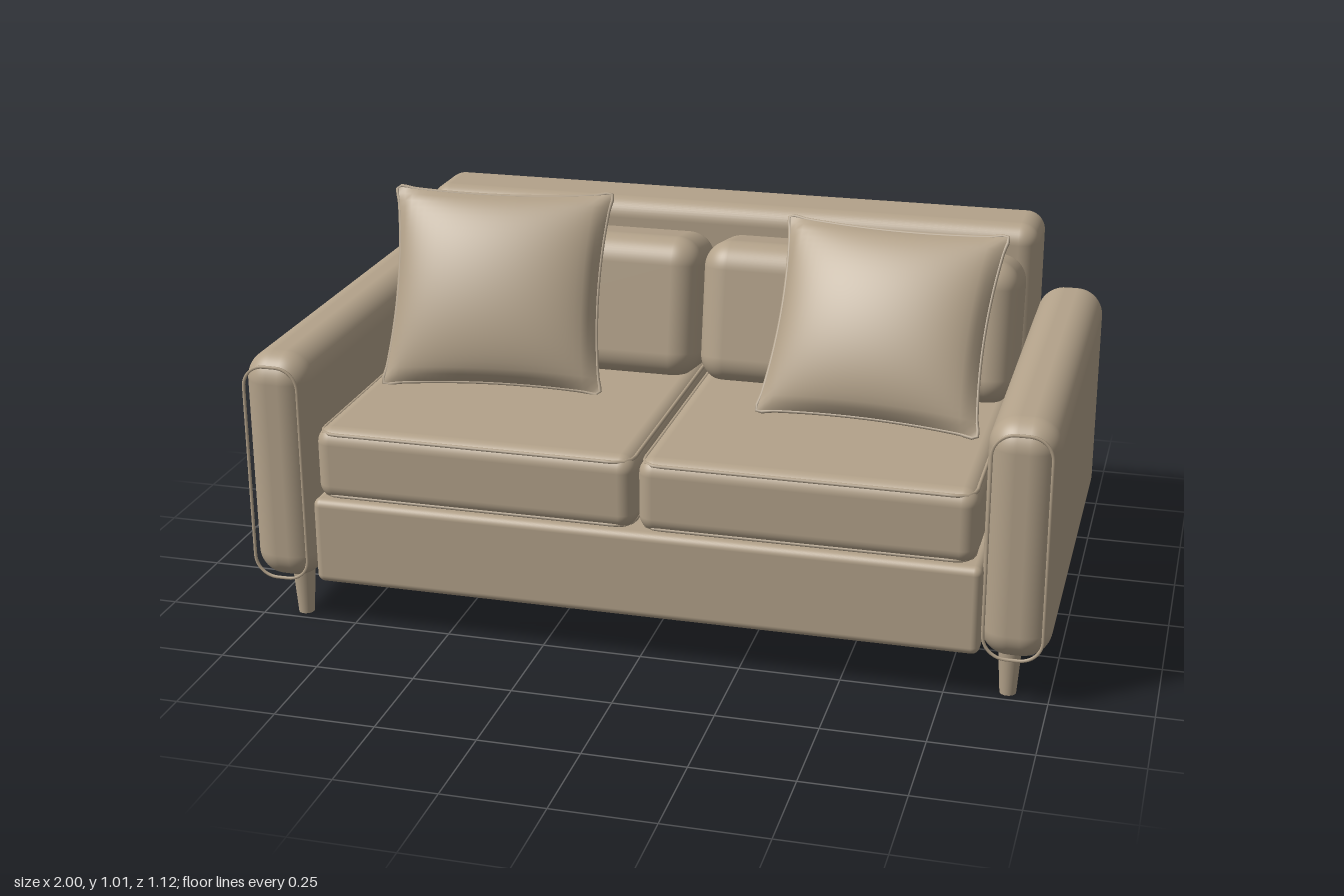
import * as THREE from 'three';
import { RoundedBoxGeometry } from 'three/addons/geometries/RoundedBoxGeometry.js';

const fabric = new THREE.MeshStandardMaterial({ color: 0xb3a28a });
fabric.name = 'tan fabric';

function add(parent, name, geometry, x = 0, y = 0, z = 0) {
  const mesh = new THREE.Mesh(geometry, fabric);
  mesh.name = name;
  mesh.position.set(x, y, z);
  parent.add(mesh);
  return mesh;
}

// Rounded box given by its limits on each axis
function block(parent, name, [x0, x1], [y0, y1], [z0, z1], radius) {
  const geometry = new RoundedBoxGeometry(x1 - x0, y1 - y0, z1 - z0, 6, radius);
  return add(parent, name, geometry, (x0 + x1) / 2, (y0 + y1) / 2, (z0 + z1) / 2);
}

// Thin cord along a rounded rectangle in the xy plane
function piping(w, h, r, thickness) {
  const a = w / 2, b = h / 2;
  const s = new THREE.Shape();
  s.moveTo(-a + r, -b);
  s.lineTo(a - r, -b);
  s.absarc(a - r, -b + r, r, -Math.PI / 2, 0);
  s.lineTo(a, b - r);
  s.absarc(a - r, b - r, r, 0, Math.PI / 2);
  s.lineTo(-a + r, b);
  s.absarc(-a + r, b - r, r, Math.PI / 2, Math.PI);
  s.lineTo(-a, -b + r);
  s.absarc(-a + r, -b + r, r, Math.PI, Math.PI * 1.5);
  const points = s.getSpacedPoints(100).slice(0, -1).map(p => new THREE.Vector3(p.x, p.y, 0));
  return new THREE.TubeGeometry(new THREE.CatmullRomCurve3(points, true), 140, thickness, 6, true);
}

// Pillow half: a grid with pinched sides, swelling towards the middle
function pillowHalf(w, h, depth, side) {
  const g = new THREE.PlaneGeometry(2, 2, 28, 28);
  const p = g.attributes.position;
  for (let i = 0; i < p.count; i++) {
    const u = p.getX(i), v = p.getY(i);
    const swell = Math.pow(Math.max(0, (1 - u * u) * (1 - v * v)), 0.55);
    const x = u * w / 2 * (1 - 0.075 * (1 - v * v) * u * u);
    const y = v * h / 2 * (1 - 0.055 * (1 - u * u) * v * v);
    p.setXYZ(i, x * side, y, side * (depth * swell + 0.003));
  }
  g.computeVertexNormals();
  return g;
}

function pillow(parent, name, position, w, h, tilt, yaw) {
  const group = new THREE.Group();
  group.name = name;
  add(group, 'pillowFront', pillowHalf(w, h, 0.085, 1));
  add(group, 'pillowBack', pillowHalf(w, h, 0.085, -1));
  // Seam cord following the pinched outline
  const edge = [];
  const corners = [[-1, -1], [1, -1], [1, 1], [-1, 1]];
  corners.forEach(([u0, v0], k) => {
    const [u1, v1] = corners[(k + 1) % 4];
    for (let i = 0; i < 12; i++) {
      const u = u0 + (u1 - u0) * i / 12, v = v0 + (v1 - v0) * i / 12;
      edge.push(new THREE.Vector3(u * w / 2 * (1 - 0.075 * (1 - v * v)),
        v * h / 2 * (1 - 0.055 * (1 - u * u)), 0));
    }
  });
  add(group, 'pillowSeam', new THREE.TubeGeometry(new THREE.CatmullRomCurve3(edge, true), 144, 0.005, 6, true));
  group.position.set(...position);
  group.rotation.set(tilt, yaw, 0, 'YXZ');
  parent.add(group);
}

export function createModel() {
  const sofa = new THREE.Group();
  sofa.name = 'sofa';

  // Frame
  block(sofa, 'base', [-0.835, 0.835], [0.12, 0.345], [-0.55, 0.535], 0.02);
  block(sofa, 'backrest', [-0.835, 0.835], [0.12, 0.915], [-0.562, -0.35], 0.05);

  for (const s of [-1, 1]) {
    const side = s > 0 ? 'left' : 'right';

    // Arm with a cord outlining its front
    const arm = add(sofa, side + 'Arm', new RoundedBoxGeometry(0.17, 0.597, 1.115, 8, 0.07), s * 0.915, 0.417, -0.005);
    add(arm, side + 'ArmPiping', piping(0.14, 0.56, 0.055, 0.004), 0, -0.003, 0.563);

    // Seat cushion with cords along its top and bottom edges
    const seat = add(sofa, side + 'SeatCushion', new RoundedBoxGeometry(0.816, 0.188, 0.9, 6, 0.04), s * 0.411, 0.441, 0.09);
    for (const e of [-1, 1]) {
      const cord = add(seat, side + 'SeatPiping', piping(0.796, 0.88, 0.04, 0.005), 0, e * 0.081, 0);
      cord.rotation.x = Math.PI / 2;
    }

    // Leaning back cushion
    const back = add(sofa, side + 'BackCushion', new RoundedBoxGeometry(0.816, 0.37, 0.255, 8, 0.07), s * 0.411, 0.693, -0.18);
    back.rotation.x = -0.17;

    // Tapered legs
    for (const z of [-0.46, 0.46]) {
      add(sofa, side + 'Leg', new THREE.CylinderGeometry(0.03, 0.02, 0.14, 20), s * 0.9, 0.07, z);
    }
  }

  // Scatter pillows
  pillow(sofa, 'rightPillow', [-0.503, 0.768, 0.043], 0.565, 0.515, -0.455, 0.11);
  pillow(sofa, 'leftPillow', [0.5, 0.758, 0.05], 0.56, 0.505, -0.55, -0.09);

  return sofa;
}
